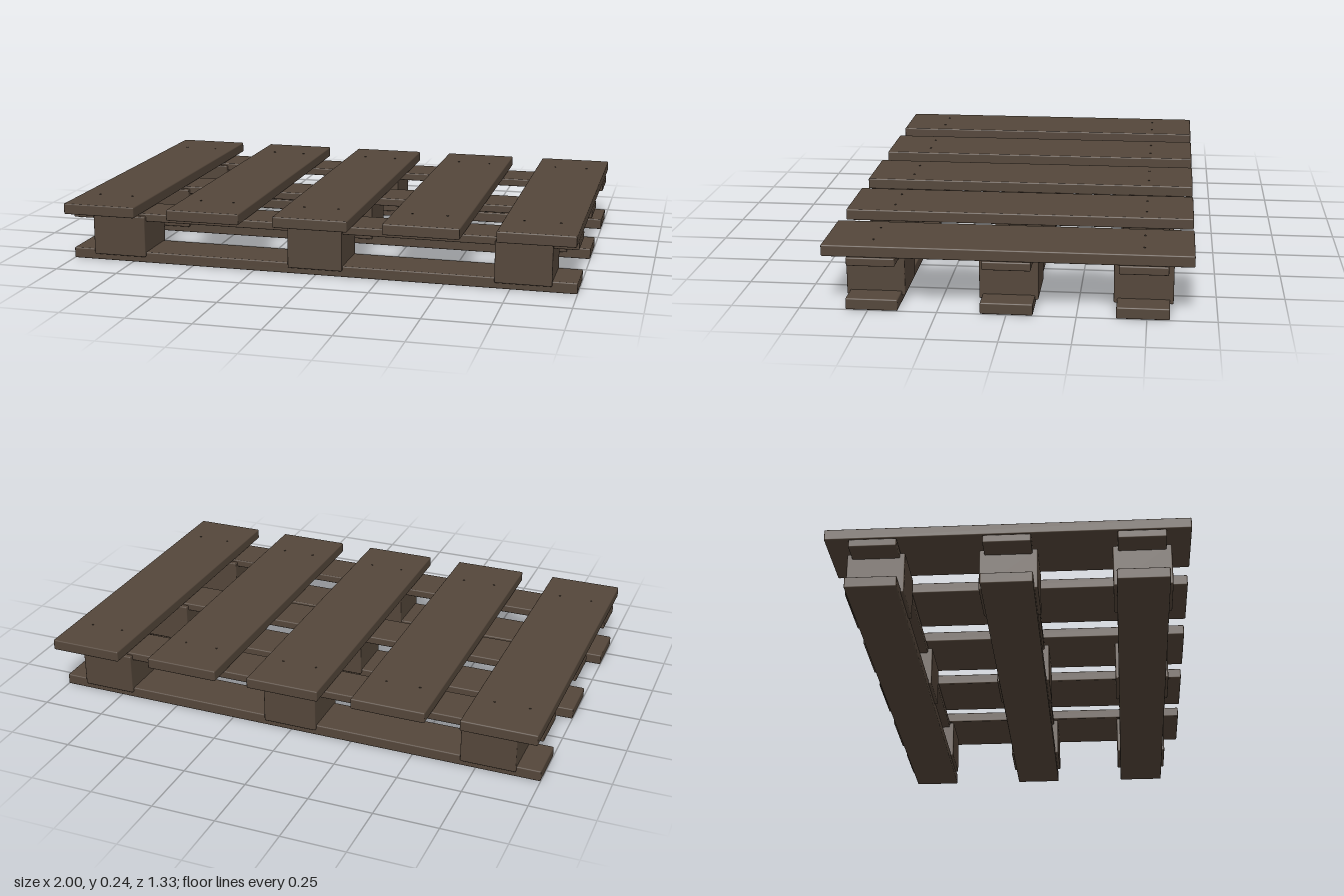
import * as THREE from 'three';
import { RoundedBoxGeometry } from 'three/addons/geometries/RoundedBoxGeometry.js';

const wood = new THREE.MeshStandardMaterial({ color: 0x54463a });
wood.name = 'brown wood';
const iron = new THREE.MeshStandardMaterial({ color: 0x3f352c });
iron.name = 'dark iron';

export function createModel() {
  const pallet = new THREE.Group();
  pallet.name = 'pallet';

  const rows = [-0.486, 0, 0.486];
  const blockColumns = [-0.8, 0, 0.8];
  const slatColumns = [-0.853, -0.4265, 0, 0.4265, 0.853];

  // Slightly eased timber, shared by every copy of a part
  const timber = (w, y0, y1, d) => {
    const geometry = new RoundedBoxGeometry(w, y1 - y0, d, 2, 0.005);
    geometry.translate(0, (y0 + y1) / 2, 0);
    return geometry;
  };
  const add = (name, geometry, material, x, y, z) => {
    const mesh = new THREE.Mesh(geometry, material);
    mesh.name = name;
    mesh.position.set(x, y, z);
    pallet.add(mesh);
  };

  const runner = timber(2, 0, 0.043, 0.19);
  const stringer = timber(2, 0.166, 0.198, 0.176);
  const block = timber(0.215, 0.025, 0.188, 0.215);
  const slat = timber(0.292, 0.199, 0.242, 1.328);
  const nail = new THREE.CylinderGeometry(0.004, 0.005, 0.006, 8);

  // Three skids: bottom runner, spacer blocks and upper stringer
  for (const z of rows) {
    add('bottomRunner', runner, wood, 0, 0, z);
    add('upperStringer', stringer, wood, 0, 0, z);
    for (const x of blockColumns) add('spacerBlock', block, wood, x, 0, z);
  }

  // Deck slats with paired nail heads over the outer skids
  for (const x of slatColumns) {
    add('deckSlat', slat, wood, x, 0, 0);
    for (const z of [rows[0], rows[2]]) {
      for (const side of [-1, 1]) add('nailHead', nail, iron, x + side * 0.068, 0.241, z);
    }
  }
  return pallet;
}
